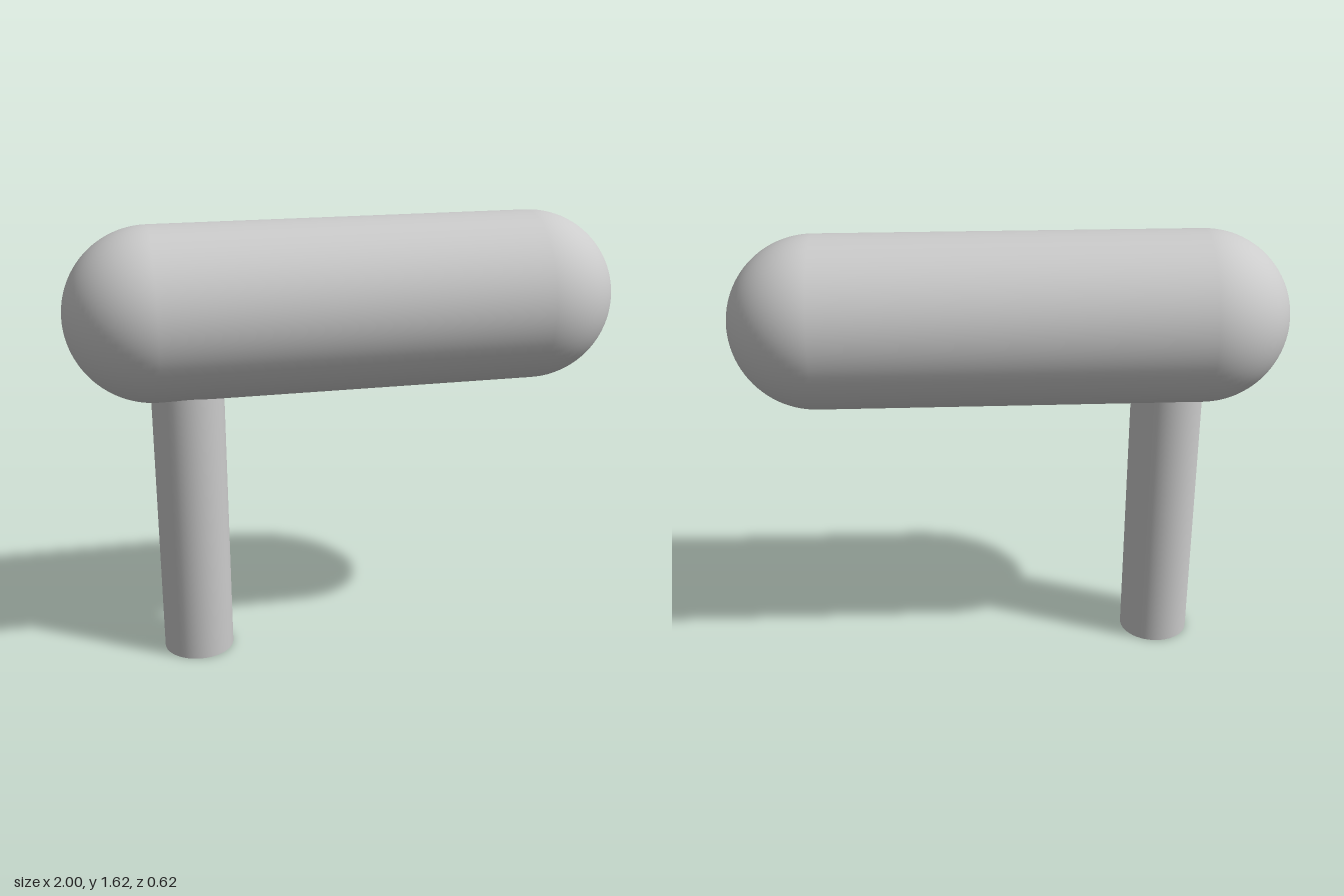
import * as THREE from 'three';

const BODY_RADIUS = 0.31;
const BODY_Y = 1.315;
const POST_RADIUS = 0.131;
const POST_X = -0.58;
const POST_TOP = 1.15; // ends hidden inside the body

export function createModel() {
  const model = new THREE.Group();
  const material = new THREE.MeshStandardMaterial({ color: 0xcccccc });

  // Horizontal rounded body, 2 units from tip to tip
  const body = new THREE.Mesh(
    new THREE.CapsuleGeometry(BODY_RADIUS, 2 - 2 * BODY_RADIUS, 24, 64),
    material
  );
  body.name = 'body';
  body.rotation.z = Math.PI / 2;
  body.position.y = BODY_Y;
  model.add(body);

  // Upright post near the right end
  const post = new THREE.Mesh(
    new THREE.CylinderGeometry(POST_RADIUS, POST_RADIUS, POST_TOP, 48),
    material
  );
  post.name = 'post';
  post.position.set(POST_X, POST_TOP / 2, 0);
  model.add(post);

  return model;
}
